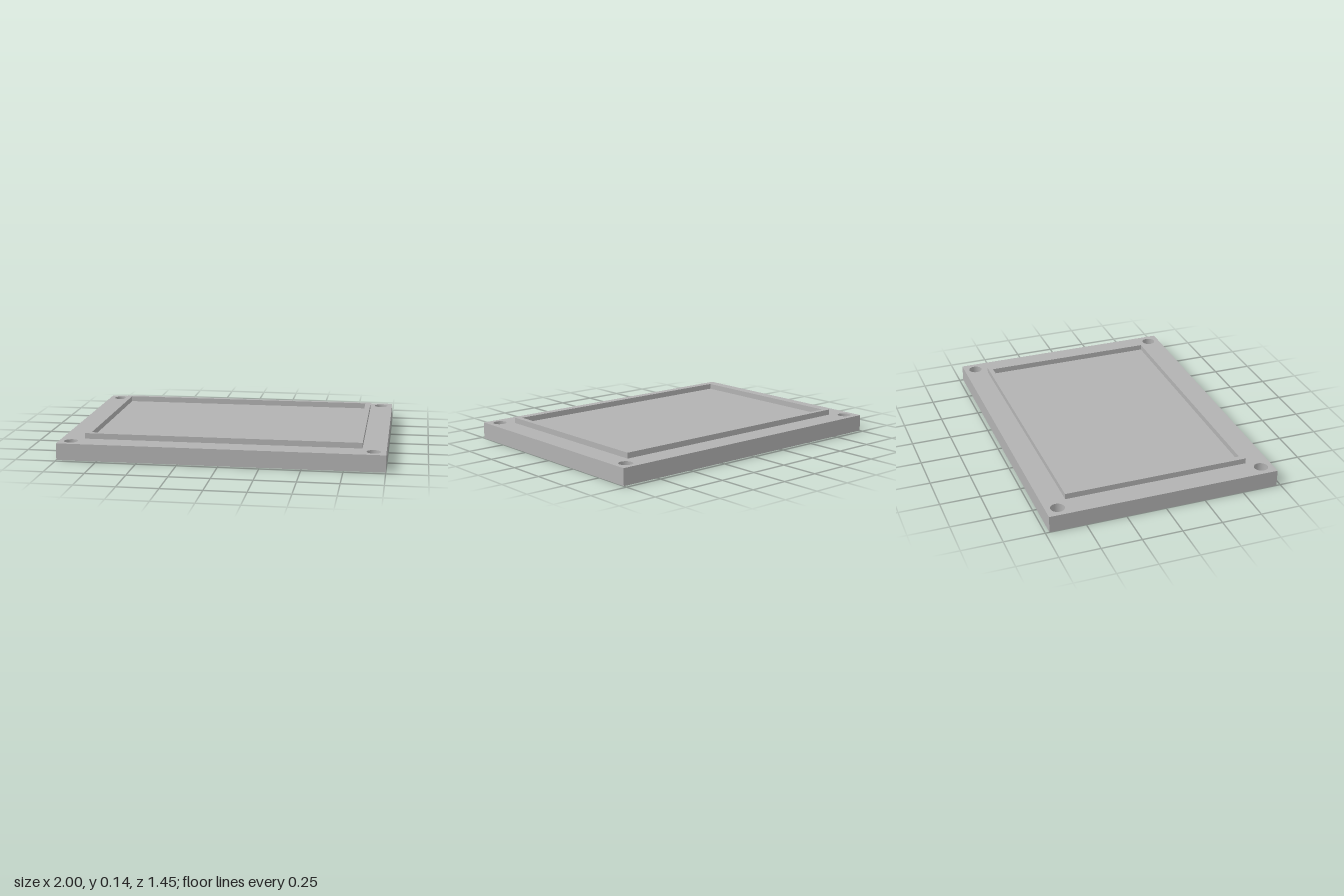
import * as THREE from 'three';
import { mergeGeometries } from 'three/addons/utils/BufferGeometryUtils.js';

const HALF_X = 1, HALF_Z = 0.725, PLATE_TOP = 0.105, RIM_TOP = 0.14;
const BOLT_R = 0.043, PIN_R = 0.029, PIN_DEPTH = 0.07, SEGMENTS = 48;
const bolts = [[-1, -1], [1, -1], [1, 1], [-1, 1]].map(([x, z]) => [x * 0.925, z * 0.65, BOLT_R]);
const pins = [-0.345, 0.345].map((x) => [x, 0, PIN_R]);

function rect(hx, hz, Type = THREE.Shape) {
  return new Type([[-hx, -hz], [hx, -hz], [hx, hz], [-hx, hz]].map((p) => new THREE.Vector2(...p)));
}

// Horizontal rectangular face pierced by round holes
function plateFace(holes, y, up) {
  const shape = rect(HALF_X, HALF_Z);
  for (const [x, z, r] of holes) {
    shape.holes.push(new THREE.Path().absarc(x, z, r, 0, Math.PI * 2, true));
  }
  return new THREE.ShapeGeometry(shape, SEGMENTS / 2)
    .rotateX(up ? -Math.PI / 2 : Math.PI / 2).translate(0, y, 0);
}

// Inward-facing wall of a round hole
function holeWall([x, z, r], depth) {
  const profile = [new THREE.Vector2(r, depth), new THREE.Vector2(r, 0)];
  return new THREE.LatheGeometry(profile, SEGMENTS).translate(x, 0, z);
}

export function createModel() {
  const group = new THREE.Group();
  const grey = new THREE.MeshStandardMaterial({ color: 0xb2b2b2, side: THREE.DoubleSide });
  grey.name = 'grey';
  const add = (name, geometry) => {
    const mesh = new THREE.Mesh(geometry, grey);
    mesh.name = name;
    group.add(mesh);
  };

  // Base plate: top, underside and four edges
  const faces = [plateFace(bolts, PLATE_TOP, true), plateFace([...bolts, ...pins], 0, false)];
  for (let i = 0; i < 4; i++) {
    const [width, offset] = i % 2 ? [2 * HALF_Z, HALF_X] : [2 * HALF_X, HALF_Z];
    faces.push(new THREE.PlaneGeometry(width, PLATE_TOP)
      .translate(0, PLATE_TOP / 2, offset).rotateY(i * Math.PI / 2));
  }
  add('basePlate', mergeGeometries(faces));

  // Through holes at the corners
  add('cornerHoles', mergeGeometries(bolts.map((b) => holeWall(b, PLATE_TOP))));

  // Blind holes in the underside
  add('blindHoles', mergeGeometries(pins.flatMap((p) => [
    holeWall(p, PIN_DEPTH),
    new THREE.CircleGeometry(PIN_R, SEGMENTS).rotateX(Math.PI / 2).translate(p[0], PIN_DEPTH, p[1]),
  ])));

  // Raised rectangular rim
  const ring = rect(0.855, 0.58);
  ring.holes.push(rect(0.82, 0.55, THREE.Path));
  add('raisedRim', new THREE.ExtrudeGeometry(ring, { depth: RIM_TOP - PLATE_TOP, bevelEnabled: false })
    .rotateX(-Math.PI / 2).translate(0, PLATE_TOP, 0));

  return group;
}
